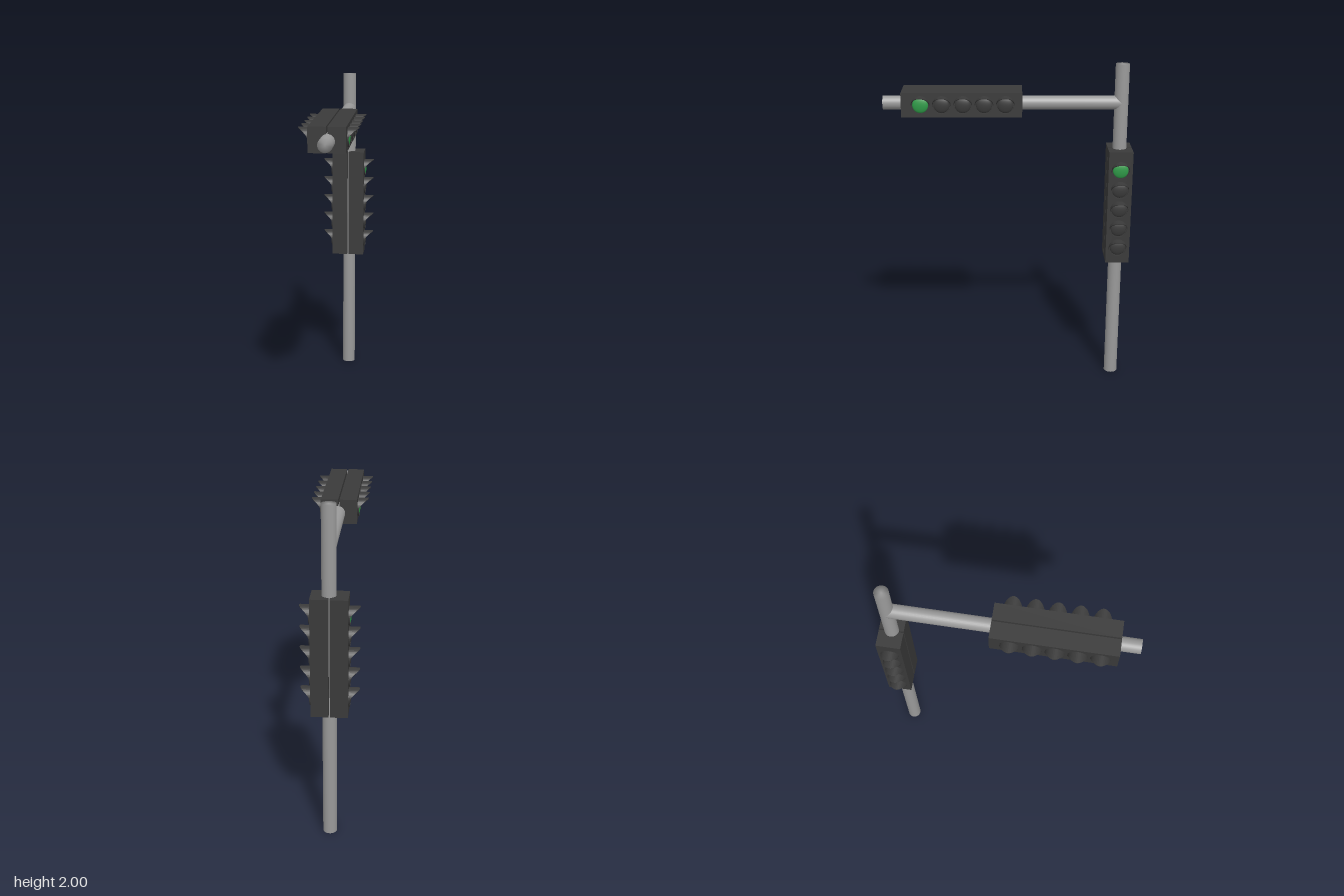
import * as THREE from 'three';
import { mergeVertices } from 'three/addons/utils/BufferGeometryUtils.js';

const paint = (color) => new THREE.MeshStandardMaterial({ color, side: THREE.DoubleSide });
const POLE = paint(0x999999), DARK = paint(0x3a3a3a), GREEN = paint(0x2f9a48);

const LAMPS = 5, PITCH = 0.1225, LENGTH = 0.7, DEPTH = 0.143;
const INNER = 0.004, OUTER = 0.104, LENS_R = 0.046, HOOD_R = 0.054;

function mesh(name, geometry, material, parent) {
  const m = new THREE.Mesh(geometry, material);
  m.name = name;
  parent.add(m);
  return m;
}

// Round tube with normals blended over its end caps
function tube(length) {
  const g = new THREE.CylinderGeometry(0.041, 0.041, length, 32);
  g.deleteAttribute('normal');
  g.deleteAttribute('uv');
  const merged = mergeVertices(g);
  merged.computeVertexNormals();
  return merged;
}

// Hood: a ring along +x, long at the top and short at the bottom, with a thin wall
function hoodGeometry() {
  const around = 40, rows = 4;
  const pos = [], index = [];
  for (let i = 0; i <= around; i++) {
    const a = (i / around) * Math.PI * 2;
    const reach = 0.008 + 0.054 * Math.max(0, Math.cos(a)) ** 1.6;
    // outer base, outer rim, inner rim, inner base
    for (const [x, r] of [[0, HOOD_R], [reach, HOOD_R], [reach, HOOD_R - 0.004], [0, HOOD_R - 0.004]]) {
      pos.push(x, r * Math.cos(a), r * Math.sin(a));
    }
  }
  for (let i = 0; i < around; i++) {
    for (let j = 0; j < rows - 1; j++) {
      const a = i * rows + j, b = a + rows;
      index.push(a, b, a + 1, b, b + 1, a + 1);
    }
  }
  const g = new THREE.BufferGeometry();
  g.setAttribute('position', new THREE.Float32BufferAttribute(pos, 3));
  g.setIndex(index);
  const flat = g.toNonIndexed();
  flat.computeVertexNormals();
  return flat;
}

// Shallow domed lens facing +x
function lensGeometry() {
  const g = new THREE.SphereGeometry(LENS_R, 28, 8, 0, Math.PI * 2, 0, Math.PI / 2);
  return g.rotateZ(-Math.PI / 2).scale(0.3, 1, 1);
}

// Half of a signal, facing +x; the row of lamps runs along y or z, green lamp first
function signalHalf(axis, hood, lens) {
  const half = new THREE.Group();
  half.name = 'signalHalf';
  const upright = axis === 'y';
  const box = new THREE.BoxGeometry(OUTER - INNER, upright ? LENGTH : DEPTH, upright ? DEPTH : LENGTH);
  mesh('housing', box, DARK, half).position.x = (INNER + OUTER) / 2;
  for (let i = 0; i < LAMPS; i++) {
    const lamp = new THREE.Group();
    lamp.name = 'lamp';
    lamp.position.x = OUTER;
    lamp.position[axis] = ((LAMPS - 1) / 2 - i) * PITCH - 0.007;
    mesh('lens', lens, i === 0 ? GREEN : DARK, lamp);
    mesh('hood', hood, DARK, lamp);
    half.add(lamp);
  }
  return half;
}

export function createModel() {
  const model = new THREE.Group();
  model.name = 'trafficSignal';

  // Upright pole and the arm reaching forward from it
  mesh('pole', tube(2), POLE, model).position.set(0.004, 1, -0.66);
  const arm = mesh('arm', tube(1.395), POLE, model);
  arm.rotation.x = Math.PI / 2;
  arm.position.set(0.004, 1.772, 0.0375);

  // Each signal is two back-to-back halves, one turned half way round
  const hood = hoodGeometry(), lens = lensGeometry();
  const places = [
    ['poleSignal', 'y', new THREE.Vector3(0, 1.145, -0.662)],
    ['armSignal', 'z', new THREE.Vector3(0, 1.78, 0.272)],
  ];
  for (const [name, axis, at] of places) {
    const signal = new THREE.Group();
    signal.name = name;
    signal.position.copy(at);
    for (const turn of [0, Math.PI]) {
      const half = signalHalf(axis, hood, lens);
      half.rotation.y = turn;
      signal.add(half);
    }
    model.add(signal);
  }
  return model;
}
